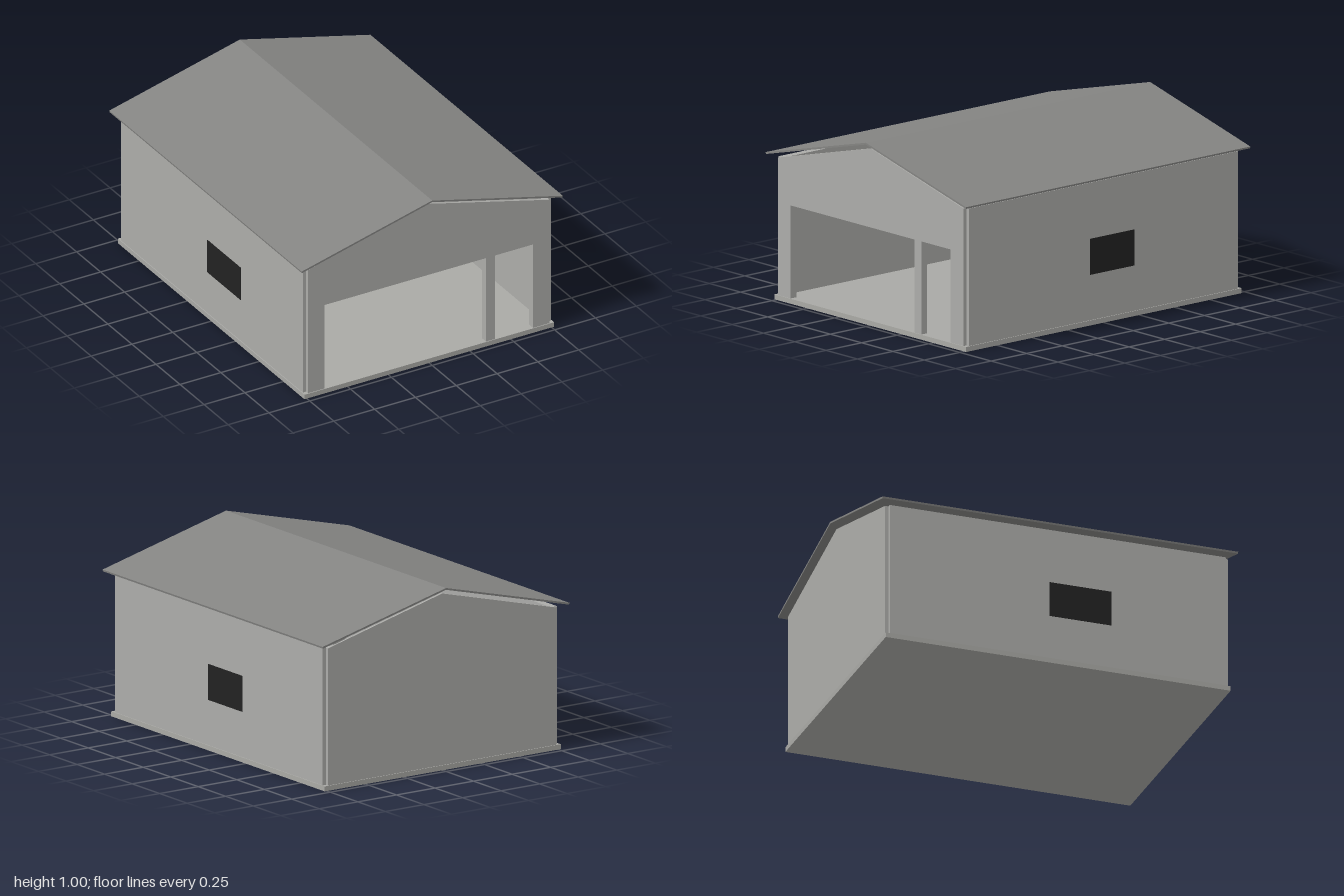
import * as THREE from 'three';

const wallMat = new THREE.MeshStandardMaterial({ name: 'wall grey', color: 0xacaca9 });
const slabMat = new THREE.MeshStandardMaterial({ name: 'concrete', color: 0xa9a9a5 });
const roofMat = new THREE.MeshStandardMaterial({ name: 'roof grey', color: 0x848482 });
const windowMat = new THREE.MeshStandardMaterial({ name: 'dark glass', color: 0x222222 });

const FLOOR = 0.027, EAVE = 0.775, THICK = 0.04;
const WALL_X = 0.74, WALL_Z = 0.945; // wall centre lines

export function createModel() {
  const group = new THREE.Group();

  const add = (name, geometry, material, x = 0, y = 0, z = 0) => {
    const mesh = new THREE.Mesh(geometry, material);
    mesh.name = name;
    mesh.position.set(x, y, z);
    group.add(mesh);
    return mesh;
  };
  const box = (name, w, h, d, material, x, y, z) =>
    add(name, new THREE.BoxGeometry(w, h, d), material, x, y, z);
  const polygon = (points) => new THREE.Shape(points.map(([x, y]) => new THREE.Vector2(x, y)));
  const extrude = (shape, depth) => new THREE.ExtrudeGeometry(shape, { depth, bevelEnabled: false });

  // Base slab
  box('floorSlab', 1.53, FLOOR, 1.94, slabMat, 0, FLOOR / 2, 0);

  // Side walls, stopping short of the corners to leave a small notch
  const wallH = EAVE - FLOOR;
  for (const [side, s] of [['left', 1], ['right', -1]]) {
    box(side + 'Wall', THICK, wallH, WALL_Z * 2, wallMat, s * WALL_X, FLOOR + wallH / 2, 0);
  }

  // Back wall
  box('backWall', WALL_X * 2, wallH, THICK, wallMat, 0, FLOOR + wallH / 2, -WALL_Z);

  // Front wall, with a wide garage opening and a narrow door opening down to the slab
  const top = 0.533;
  const front = polygon([
    [-WALL_X, FLOOR], [-0.64, FLOOR], [-0.64, top], [0.35, top], [0.35, FLOOR],
    [0.405, FLOOR], [0.405, top], [0.638, top], [0.638, FLOOR],
    [WALL_X, FLOOR], [WALL_X, EAVE], [-WALL_X, EAVE],
  ]);
  add('frontWall', extrude(front, THICK), wallMat, 0, 0, WALL_Z - THICK / 2);

  // Thin gable panels flush with the outer wall faces
  const gable = extrude(polygon([[-WALL_X, EAVE], [WALL_X, EAVE], [0, 0.963]]), 0.01);
  add('frontGable', gable, wallMat, 0, 0, WALL_Z + THICK / 2 - 0.01);
  add('backGable', gable, wallMat, 0, 0, -WALL_Z - THICK / 2);

  // Two thin roof slopes meeting at the ridge
  const slopes = {
    leftRoofSlope: [[0, 0.99], [0.798, 0.789], [0.8, 0.799], [0, 1]],
    rightRoofSlope: [[0, 1], [-0.8, 0.799], [-0.798, 0.789], [0, 0.99]],
  };
  for (const [name, points] of Object.entries(slopes)) {
    add(name, extrude(polygon(points), 2), roofMat, 0, 0, -1);
  }

  // Window plates on the side walls
  const windowX = WALL_X + THICK / 2;
  box('leftWindow', 0.004, 0.196, 0.31, windowMat, windowX, 0.372, -0.062);
  box('rightWindow', 0.004, 0.196, 0.346, windowMat, -windowX, 0.372, 0.127);

  return group;
}
